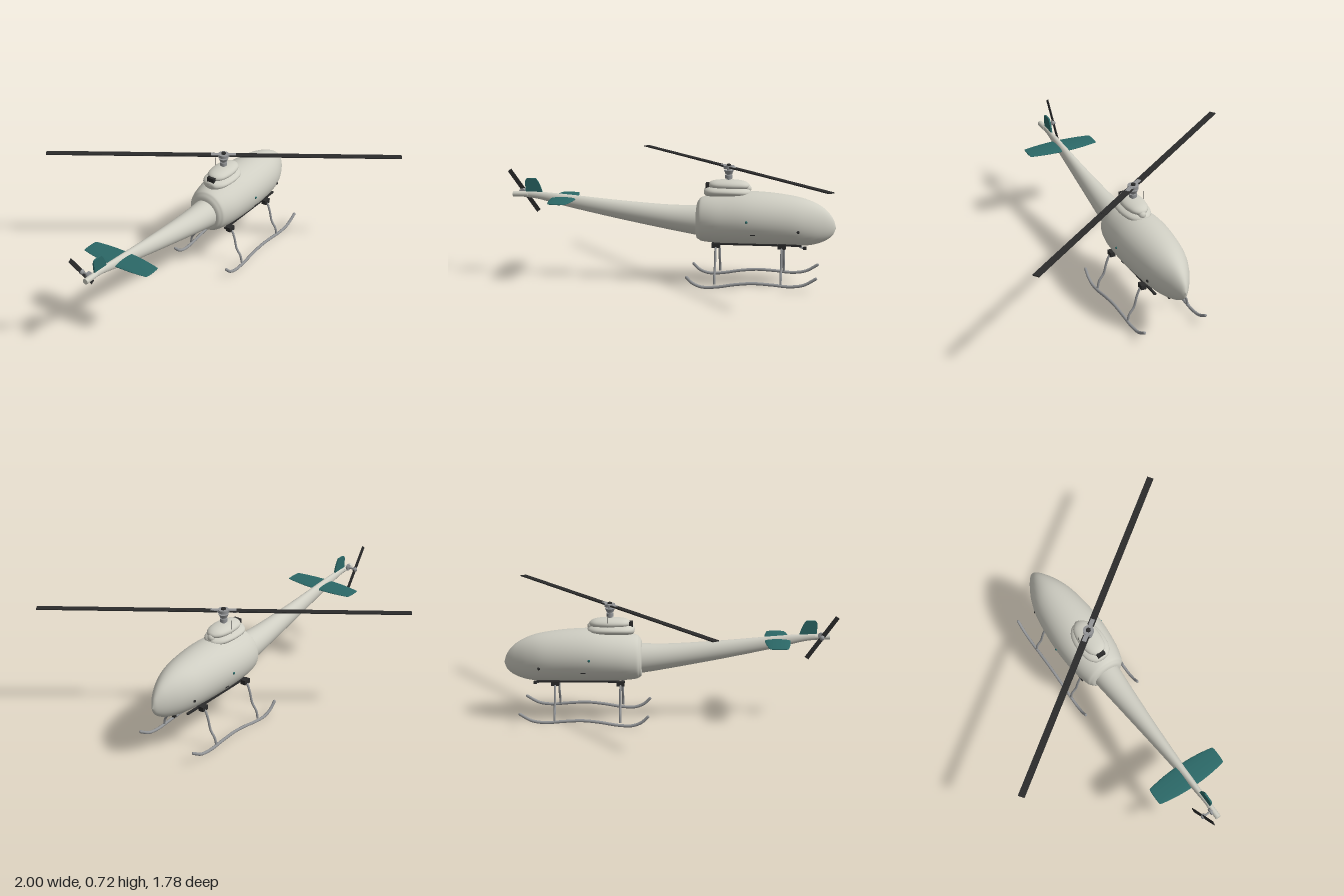
import * as THREE from 'three';

const material = (name, color) => {
  const m = new THREE.MeshStandardMaterial({ color });
  m.name = name;
  return m;
};

// Smooth elliptical skin through sections [x, top, bottom, half width], x rising
function loft(sections, steps = 6, sides = 40) {
  const type = 'catmullrom';
  const a = new THREE.CatmullRomCurve3(sections.map(s => new THREE.Vector3(s[0], s[1], s[2])), false, type);
  const b = new THREE.CatmullRomCurve3(sections.map(s => new THREE.Vector3(s[3], 0, 0)), false, type);
  const rings = (sections.length - 1) * steps;
  const pos = [], index = [];
  for (let i = 0; i <= rings; i++) {
    const p = a.getPoint(i / rings), w = Math.max(0, b.getPoint(i / rings).x);
    const yc = (p.y + p.z) / 2, ry = Math.max(0, (p.y - p.z) / 2);
    for (let j = 0; j < sides; j++) {
      const t = j / sides * Math.PI * 2;
      pos.push(p.x, yc + ry * Math.cos(t), w * Math.sin(t));
    }
  }
  for (let i = 0; i < rings; i++) {
    for (let j = 0; j < sides; j++) {
      const k = (j + 1) % sides, r = i * sides, n = r + sides;
      index.push(r + j, r + k, n + j, n + j, r + k, n + k);
    }
  }
  const g = new THREE.BufferGeometry();
  g.setAttribute('position', new THREE.Float32BufferAttribute(pos, 3));
  g.setIndex(index);
  g.computeVertexNormals();
  return g;
}

const tube = (points, radius, segments = 48) => new THREE.TubeGeometry(
  new THREE.CatmullRomCurve3(points.map(p => new THREE.Vector3(...p))), segments, radius, 10);

export function createModel() {
  const model = new THREE.Group();
  model.name = 'helicopter';
  const hull = material('hull off-white', 0xcfcec3);
  const teal = material('fin teal', 0x2b6867);
  const metal = material('metal grey', 0x929496);
  const dark = material('blade black', 0x2b2b2b);

  const add = (name, geometry, mat, x = 0, y = 0, z = 0, parent = model) => {
    const mesh = new THREE.Mesh(geometry, mat);
    mesh.name = name;
    mesh.position.set(x, y, z);
    parent.add(mesh);
    return mesh;
  };
  const box = (w, h, d) => new THREE.BoxGeometry(w, h, d);
  const cyl = (r1, r2, h, n = 24) => new THREE.CylinderGeometry(r1, r2, h, n);

  // Fuselage and tail boom
  add('fuselage', loft([
    [0.168, 0.375, 0.375, 0], [0.17, 0.47, 0.28, 0.085], [0.185, 0.505, 0.262, 0.113],
    [0.21, 0.522, 0.252, 0.13], [0.3, 0.54, 0.244, 0.152], [0.45, 0.558, 0.24, 0.164],
    [0.6, 0.554, 0.237, 0.157], [0.75, 0.535, 0.237, 0.135], [0.85, 0.508, 0.244, 0.102],
    [0.93, 0.464, 0.268, 0.06], [0.98, 0.407, 0.305, 0.024], [1, 0.35, 0.35, 0]]), hull);
  add('tailBoom', loft([
    [-0.905, 0.513, 0.513, 0], [-0.9, 0.53, 0.498, 0.012], [-0.8, 0.53, 0.486, 0.016],
    [-0.6, 0.515, 0.438, 0.026], [-0.3, 0.488, 0.375, 0.046], [0, 0.468, 0.318, 0.07],
    [0.2, 0.468, 0.283, 0.088]]), hull);
  add('tailGearbox', cyl(0.017, 0.017, 0.09), hull, -0.907, 0.513, 0).rotation.z = Math.PI / 2;

  // Stacked engine cowl with intake and exhaust
  add('lowerCowl', loft([
    [0.212, 0.555, 0.555, 0], [0.222, 0.577, 0.53, 0.045], [0.27, 0.588, 0.525, 0.08],
    [0.36, 0.59, 0.525, 0.09], [0.44, 0.585, 0.525, 0.075], [0.485, 0.572, 0.53, 0.04],
    [0.497, 0.553, 0.553, 0]]), hull);
  add('upperCowl', loft([
    [0.238, 0.595, 0.595, 0], [0.25, 0.613, 0.575, 0.035], [0.29, 0.624, 0.565, 0.06],
    [0.37, 0.628, 0.56, 0.068], [0.44, 0.622, 0.565, 0.055], [0.475, 0.608, 0.575, 0.03],
    [0.487, 0.592, 0.592, 0]]), hull);
  add('intake', new THREE.SphereGeometry(0.024, 20, 14), hull, 0.472, 0.575, 0);
  add('exhaust', box(0.028, 0.038, 0.05), dark, 0.237, 0.585, 0);

  // Rotor mast and main rotor
  const x = 0.36;
  add('mast', cyl(0.012, 0.014, 0.1), metal, x, 0.66, 0);
  add('mastCollar', cyl(0.022, 0.022, 0.02), metal, x, 0.645, 0);
  add('swashplate', cyl(0.03, 0.02, 0.022), metal, x, 0.672, 0);
  add('hub', cyl(0.032, 0.032, 0.018), metal, x, 0.702, 0);
  add('hubCap', cyl(0.014, 0.016, 0.012, 6), dark, x, 0.714, 0);
  const rotor = new THREE.Group();
  rotor.name = 'mainRotor';
  rotor.position.set(x, 0.703, 0);
  rotor.rotation.y = -Math.atan2(0.88, 0.62);
  model.add(rotor);
  for (const s of [-1, 1]) {
    add('rotorBlade', box(1.04, 0.006, 0.04), dark, s * 0.555, 0, 0, rotor);
    add('bladeGrip', box(0.07, 0.014, 0.026), metal, s * 0.04, 0, 0, rotor);
    add('bladeRoot', box(0.32, 0.008, 0.036), dark, s * 0.2, 0, 0, rotor);
  }

  // Tail rotor on a side shaft
  add('tailShaft', cyl(0.006, 0.006, 0.08, 12), metal, -0.9, 0.523, -0.04).rotation.x = Math.PI / 2;
  add('tailShaftFlange', cyl(0.02, 0.02, 0.012), metal, -0.9, 0.523, -0.018).rotation.x = Math.PI / 2;
  add('tailHub', new THREE.SphereGeometry(0.016, 16, 12), metal, -0.9, 0.523, -0.068);
  add('tailRotorBlades', box(0.306, 0.026, 0.005), dark, -0.9, 0.524, -0.07).rotation.z = -Math.atan2(0.25, 0.18);

  // Stabiliser and fin
  const span = [[-0.228, 0, 0], [-0.226, 0.003, 0.045], [-0.21, 0.005, 0.057], [-0.11, 0.009, 0.072], [0, 0.011, 0.077]];
  const whole = [...span, ...span.slice(0, -1).reverse().map(([z, h, c]) => [-z, h, c])];
  add('stabiliser', loft(whole.map(([z, h, c]) => [z, h, -h, c]), 4, 28).rotateY(Math.PI / 2),
    teal, -0.64, 0.492, 0);
  const fin = new THREE.Shape();
  fin.moveTo(-0.872, 0.515);
  fin.lineTo(-0.878, 0.59);
  fin.quadraticCurveTo(-0.872, 0.611, -0.86, 0.611);
  fin.lineTo(-0.812, 0.611);
  fin.quadraticCurveTo(-0.785, 0.585, -0.768, 0.515);
  add('fin', new THREE.ExtrudeGeometry(fin, { depth: 0.01, bevelEnabled: false }), teal, 0, 0, -0.005);

  // Landing gear, mirrored left and right
  const skid = [[0.13, 0.068], [0.165, 0.035], [0.22, 0.013], [0.3, 0.014], [0.42, 0.033], [0.52, 0.042],
    [0.63, 0.037], [0.74, 0.029], [0.82, 0.041], [0.89, 0.08]];
  for (const s of [-1, 1]) {
    const gear = new THREE.Group();
    gear.name = s > 0 ? 'frontSideGear' : 'backSideGear';
    model.add(gear);
    add('skid', tube(skid.map(([px, py]) => [px, py, s * 0.195]), 0.009, 72), metal, 0, 0, 0, gear);
    for (const e of [0, skid.length - 1]) {
      add('skidEnd', new THREE.SphereGeometry(0.009, 10, 8), metal, skid[e][0], skid[e][1], s * 0.195, gear);
    }
    for (const lx of [0.295, 0.685]) {
      add('leg', tube([[lx, 0.25, s * 0.085], [lx, 0.237, s * 0.115], [lx, 0.19, s * 0.137], [lx, 0.12, s * 0.155],
        [lx, 0.075, s * 0.185], [lx, 0.03, s * 0.195]], 0.007, 32), metal, 0, 0, 0, gear);
      add('legClamp', box(0.046, 0.028, 0.032), dark, lx, 0.248, s * 0.104, gear);
    }
    add('rail', box(0.53, 0.01, 0.014), dark, 0.535, 0.252, s * 0.082, gear);
    // Small fittings on the flanks
    add('sideLight', new THREE.SphereGeometry(0.008, 12, 8), teal, 0.478, 0.4, s * 0.163, gear);
    add('sidePort', new THREE.SphereGeometry(0.009, 12, 8), dark, 0.78, 0.34, s * 0.121, gear);
    add('sideSlot', box(0.028, 0.006, 0.01), dark, 0.515, 0.32, s * 0.14, gear);
    add('lowerPort', box(0.008, 0.016, 0.01), dark, 0.728, 0.275, s * 0.076, gear);
  }

  // Chin probe and aerial
  add('chinProbe', tube([[0.775, 0.25, 0], [0.79, 0.23, 0], [0.815, 0.222, 0]], 0.007, 12), metal);
  add('chinSensor', box(0.018, 0.018, 0.018), dark, 0.817, 0.222, 0);
  add('aerial', cyl(0.0015, 0.0015, 0.1, 6), dark, 0.37, 0.61, -0.063);

  return model;
}
